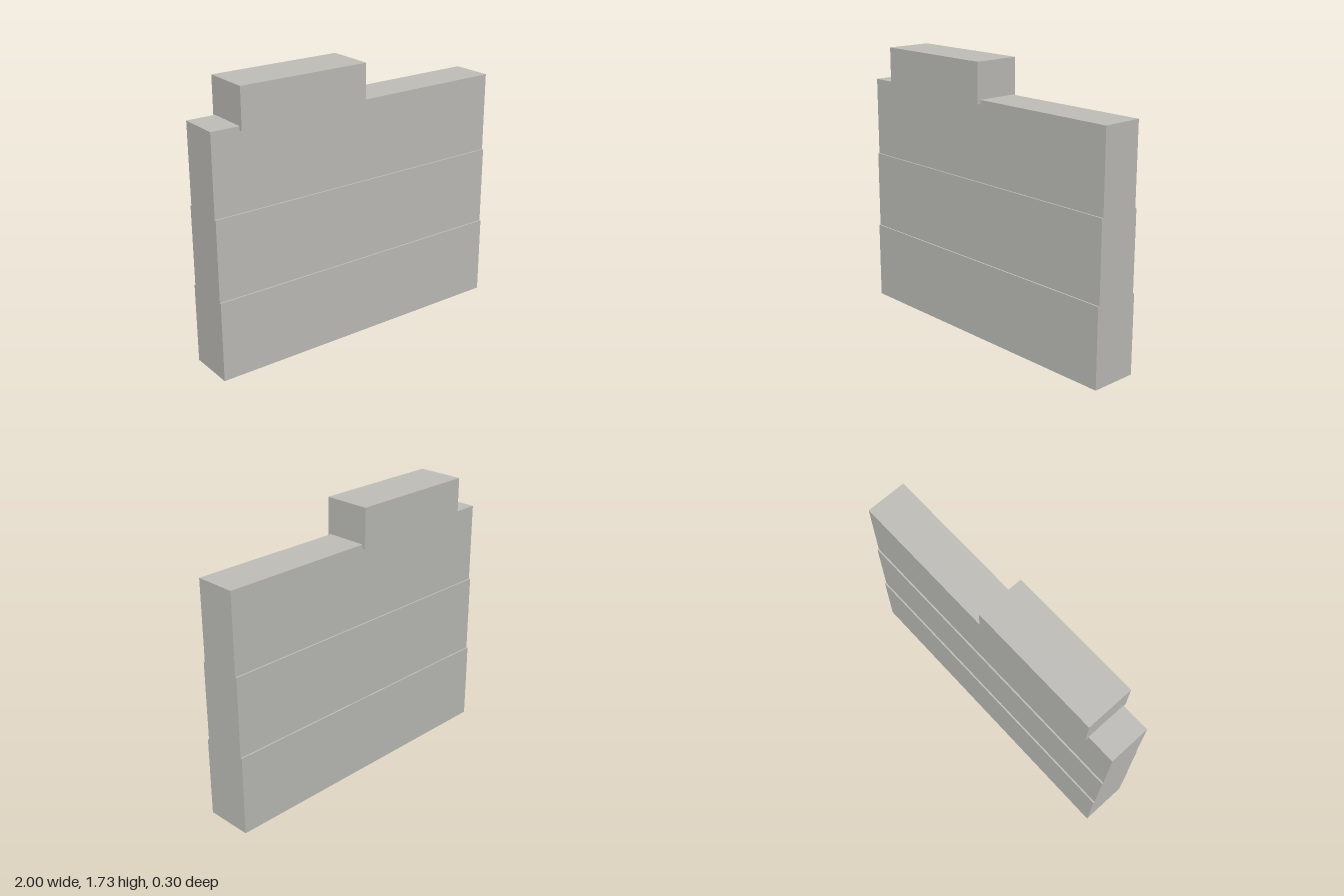
import * as THREE from 'three';

export function createModel() {
  const model = new THREE.Group();
  model.name = 'steppedWall';

  const stone = new THREE.MeshStandardMaterial({ color: 0xc0bfba });
  stone.name = 'stone grey';

  // Adds a block between two heights, centred on z = 0
  function addBlock(name, x0, x1, y0, y1, depth) {
    const mesh = new THREE.Mesh(new THREE.BoxGeometry(x1 - x0, y1 - y0, depth), stone);
    mesh.name = name;
    mesh.position.set((x0 + x1) / 2, (y0 + y1) / 2, 0);
    model.add(mesh);
  }

  // Three wall courses, each slightly thinner than the one below
  ['lowerCourse', 'middleCourse', 'upperCourse'].forEach((name, i) => {
    addBlock(name, -1, 1, i * 0.5, (i + 1) * 0.5, 0.3 - i * 0.02);
  });

  // Raised block straddling the top edge
  addBlock('merlon', -0.82, 0.02, 1.475, 1.725, 0.3);

  return model;
}
